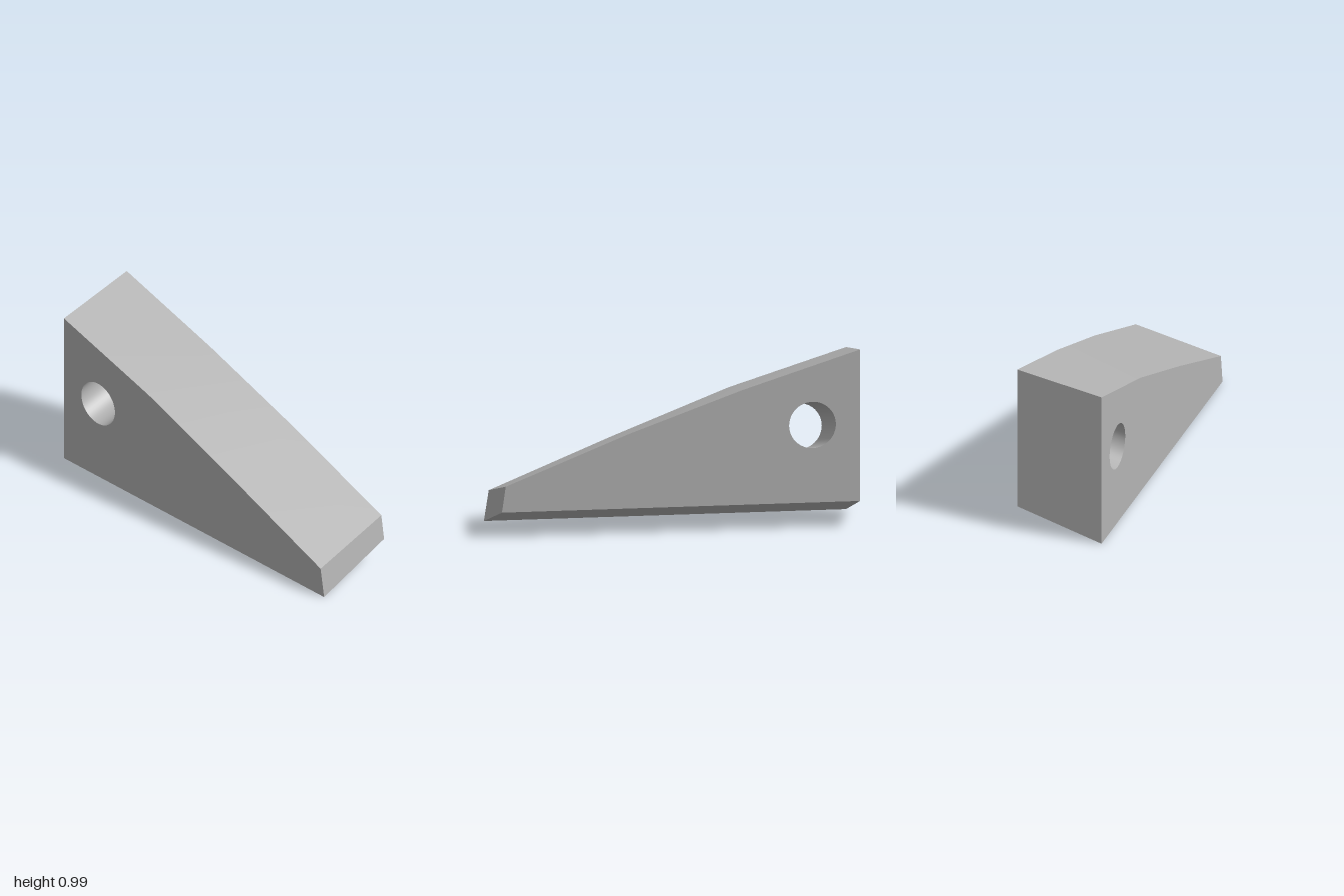
import * as THREE from 'three';
import { mergeGeometries, toCreasedNormals } from 'three/addons/utils/BufferGeometryUtils.js';

const HALF_DEPTH = 0.243;

// Side profiles, counter-clockwise from the bottom corner of the tall end
const frontProfile = [[-1, 0], [1, 0], [0.973, 0.171], [0.3, 0.447], [-0.35, 0.7], [-1, 0.903]];
const backProfile = [[-1, 0.146], [0.978, 0.146], [0.957, 0.29], [0.28, 0.56], [-0.35, 0.785], [-1, 0.99]];

const toPoints = (list) => list.map(([x, y]) => new THREE.Vector2(x, y));

// Clockwise circle, so that the walls built on it face inward
function holePoints(cx, cy, radius, count = 48) {
  return Array.from({ length: count }, (_, i) => {
    const a = -i / count * Math.PI * 2;
    return new THREE.Vector2(cx + radius * Math.cos(a), cy + radius * Math.sin(a));
  });
}

// Flat face with the hole cut out
function face(outline, hole, z, flip) {
  const shape = new THREE.Shape(outline);
  shape.holes.push(new THREE.Path(hole));
  const geometry = new THREE.ShapeGeometry(shape).translate(0, 0, z);
  if (flip) geometry.index.array.reverse();
  const flat = geometry.toNonIndexed();
  flat.deleteAttribute('uv');
  flat.computeVertexNormals();
  return flat;
}

// Ruled wall joining a front loop to the matching back loop
function wall(front, back) {
  const positions = [];
  const n = front.length;
  for (let i = 0; i < n; i++) {
    const j = (i + 1) % n;
    const a = [front[i].x, front[i].y, HALF_DEPTH];
    const b = [front[j].x, front[j].y, HALF_DEPTH];
    const c = [back[i].x, back[i].y, -HALF_DEPTH];
    const d = [back[j].x, back[j].y, -HALF_DEPTH];
    positions.push(...a, ...c, ...b, ...b, ...c, ...d);
  }
  const geometry = new THREE.BufferGeometry();
  geometry.setAttribute('position', new THREE.Float32BufferAttribute(positions, 3));
  geometry.computeVertexNormals();
  return geometry;
}

export function createModel() {
  const grey = new THREE.MeshStandardMaterial({ color: 0xb4b4b4 });
  grey.name = 'grey';

  const front = toPoints(frontProfile);
  const back = toPoints(backProfile);
  // The bore rises towards the back, like the sheared block
  const frontHole = holePoints(-0.737, 0.47, 0.129);
  const backHole = holePoints(-0.737, 0.578, 0.129);

  const geometry = toCreasedNormals(mergeGeometries([
    face(front, frontHole, HALF_DEPTH, false),
    face(back, backHole, -HALF_DEPTH, true),
    wall(front, back),
    wall(frontHole, backHole),
  ]), Math.PI / 6);

  const wedge = new THREE.Mesh(geometry, grey);
  wedge.name = 'wedgeWithBore';
  const group = new THREE.Group();
  group.name = 'wedgeBlock';
  group.add(wedge);
  return group;
}
